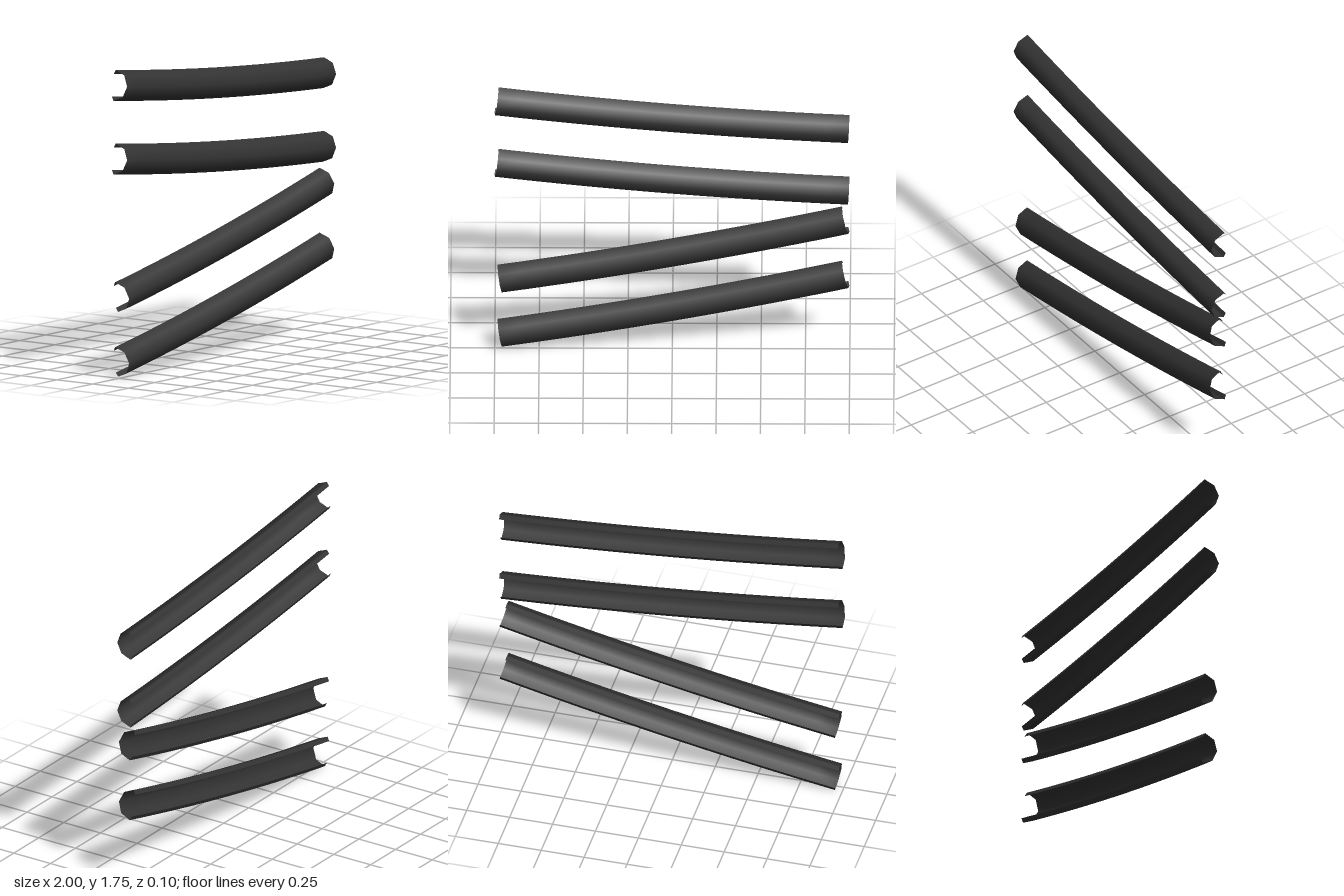
import * as THREE from 'three';

// Sweep an open section (pairs of z, height) along a curve in the xy plane
function sweep(curve, section, steps) {
  const pos = [], idx = [], n = section.length;
  for (let i = 0; i <= steps; i++) {
    const p = curve.getPoint(i / steps), t = curve.getTangent(i / steps);
    for (const [z, h] of section) pos.push(p.x - t.y * h, p.y + t.x * h, z);
  }
  for (let i = 0; i < steps; i++) {
    for (let j = 0; j < n - 1; j++) {
      const a = i * n + j, c = a + n;
      idx.push(a, a + 1, c, a + 1, c + 1, c);
    }
  }
  const g = new THREE.BufferGeometry();
  g.setAttribute('position', new THREE.Float32BufferAttribute(pos, 3));
  g.setIndex(idx);
  g.computeVertexNormals();
  return g;
}

export function createModel() {
  const model = new THREE.Group();
  const charcoal = new THREE.MeshStandardMaterial({ color: 0x333333, side: THREE.DoubleSide });
  charcoal.name = 'charcoal';

  // Half-round shell, open at the back, with a short lip folded in at each edge
  const R = 0.0875, zc = -0.0375;
  const shell = [];
  for (let k = 0; k <= 4; k++) {
    const a = Math.PI / 2 - (k * Math.PI) / 4;
    shell.push([zc + R * Math.cos(a), R * Math.sin(a)]);
  }
  const upperLip = [[-0.05, 0.064], [zc, R]];
  const lowerLip = [[zc, -R], [-0.05, -0.064]];

  function addRail(name, x0, y0, x1, y1, sag) {
    const curve = new THREE.QuadraticBezierCurve(
      new THREE.Vector2(x0, y0),
      new THREE.Vector2((x0 + x1) / 2, (y0 + y1) / 2 - 2 * sag),
      new THREE.Vector2(x1, y1)
    );
    const rail = new THREE.Group();
    rail.name = name;
    for (const [part, section] of [['shell', shell], ['upperLip', upperLip], ['lowerLip', lowerLip]]) {
      const mesh = new THREE.Mesh(sweep(curve, section, 16), charcoal);
      mesh.name = part;
      rail.add(mesh);
    }
    model.add(rail);
  }

  // Two upper rails fall to the model's left, two lower rails rise to it
  addRail('topRail', -0.99, 1.67, 0.993, 1.487, 0.02);
  addRail('upperMiddleRail', -0.99, 1.25, 0.993, 1.067, 0.02);
  addRail('lowerMiddleRail', -0.971, 0.46, 0.976, 0.865, 0.021);
  addRail('bottomRail', -0.971, 0.09, 0.976, 0.495, 0.021);
  return model;
}
